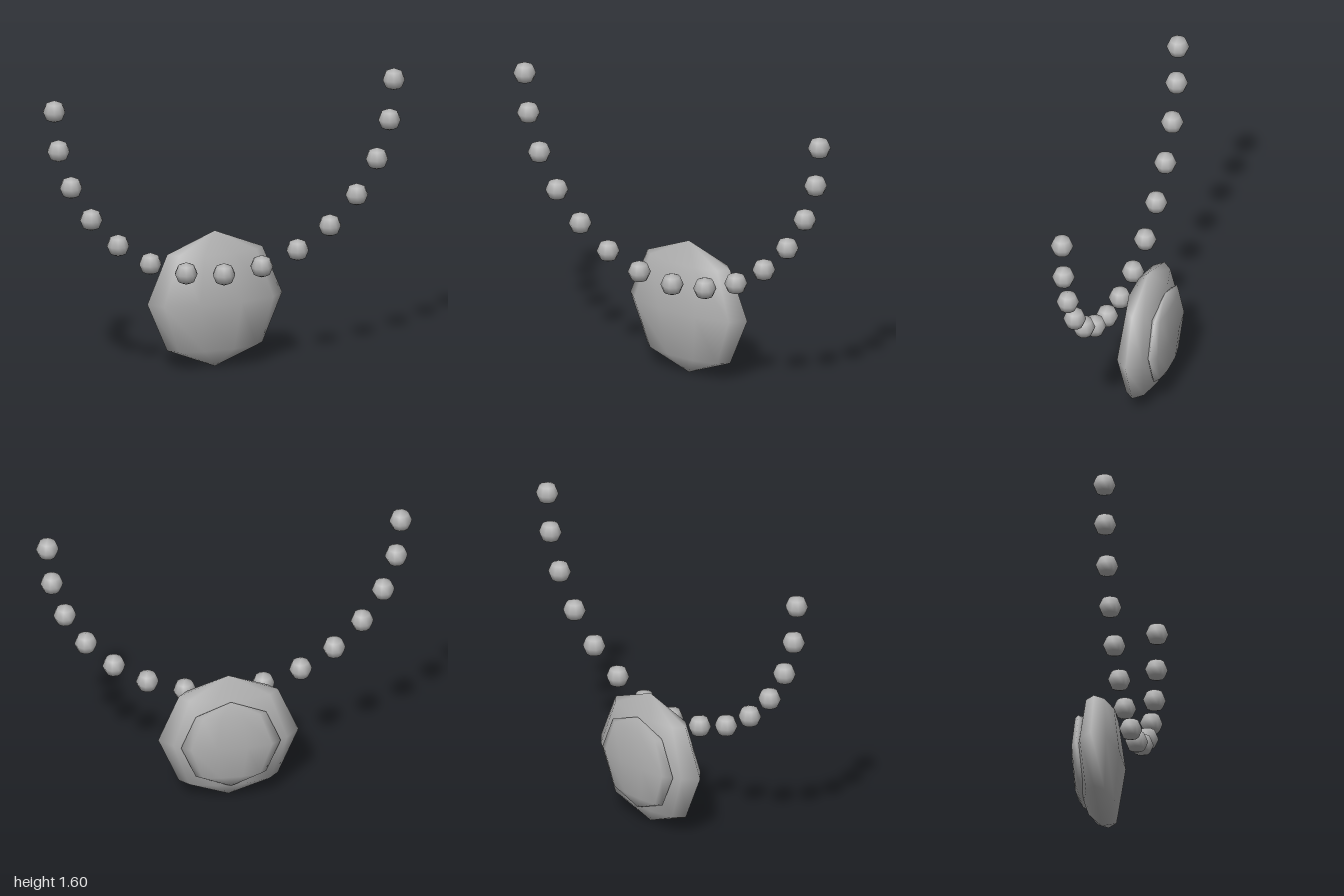
import * as THREE from 'three';

export function createModel() {
  const model = new THREE.Group();
  model.name = 'necklace';
  const grey = new THREE.MeshStandardMaterial({ color: 0xb2b2b2 });
  grey.name = 'grey';

  // Low-poly ball, ten sides around and four rings high, squashed in depth
  function ball(name, radius, depth, x, y, z, parent) {
    const mesh = new THREE.Mesh(new THREE.SphereGeometry(radius, 10, 4), grey);
    mesh.name = name;
    mesh.scale.z = depth;
    mesh.position.set(x, y, z);
    parent.add(mesh);
  }

  // String of beads hanging in a half ellipse
  const beads = new THREE.Group();
  beads.name = 'beads';
  model.add(beads);
  const count = 15;
  for (let i = 0; i < count; i++) {
    const a = (Math.PI * i) / (count - 1);
    ball('bead', 0.061, 1, -0.939 * Math.cos(a), 1.535 - 0.985 * Math.sin(a), 0.122, beads);
  }

  // Pendant with a smaller disc set into its back
  ball('pendant', 0.373, 0.32, 0, 0.373, -0.035, model);
  ball('backDisc', 0.265, 0.2, 0, 0.375, -0.13, model);

  return model;
}
